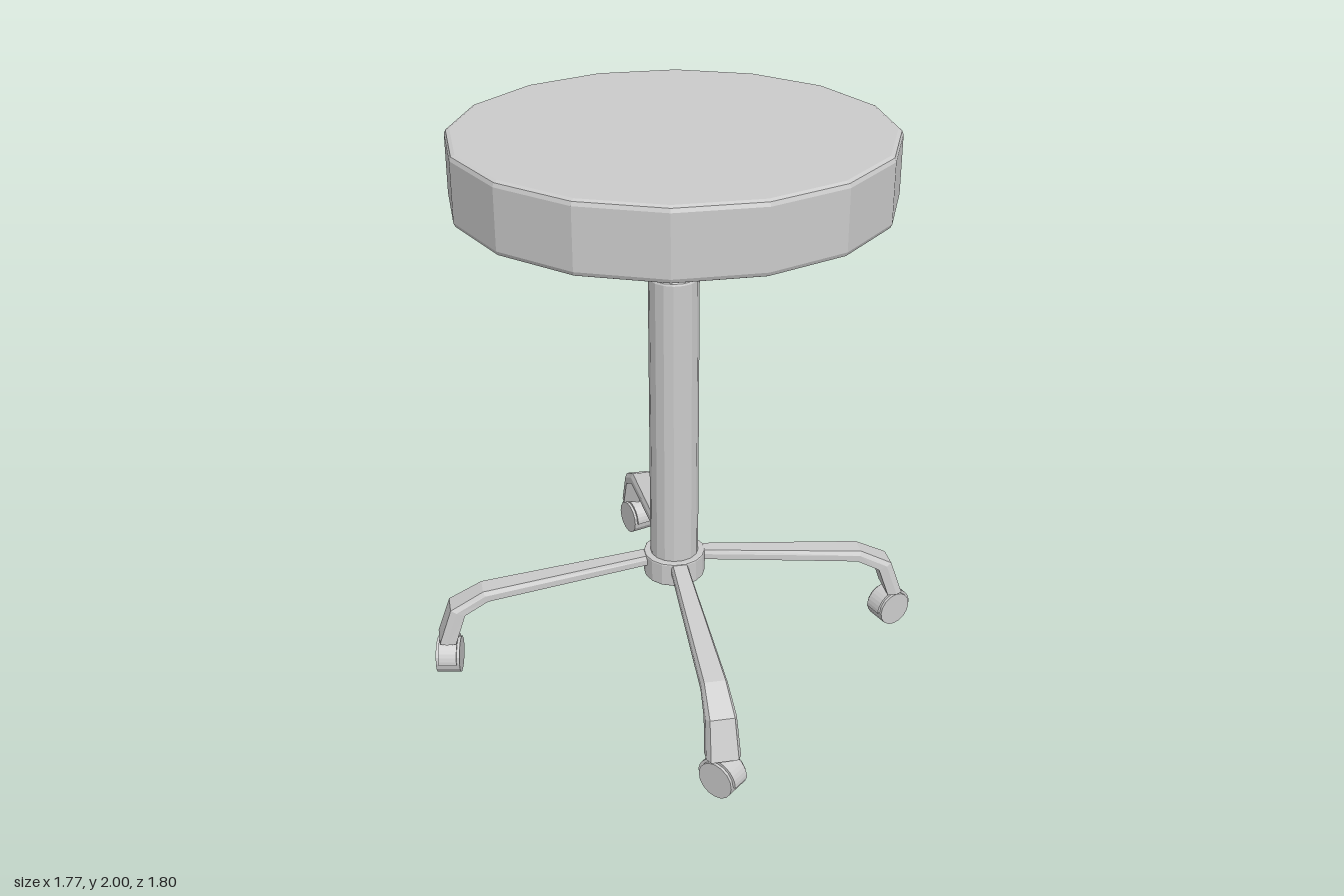
import * as THREE from 'three';

const CENTRE_X = -0.013;
const LEG_ANGLE = THREE.MathUtils.degToRad(11.5);
const material = new THREE.MeshStandardMaterial({ color: 0xcccccc, flatShading: true });

function part(name, geometry) {
  const flat = geometry.index ? geometry.toNonIndexed() : geometry;
  flat.computeVertexNormals();
  const mesh = new THREE.Mesh(flat, material);
  mesh.name = name;
  return mesh;
}

// Upright turned disc or tube with small chamfers at both rims
function turned(name, radius, bottom, top, chamfer) {
  const profile = [
    [0, bottom], [radius - chamfer, bottom],
    [radius - chamfer * 0.3, bottom + chamfer * 0.3], [radius, bottom + chamfer],
    [radius, top - chamfer], [radius - chamfer * 0.3, top - chamfer * 0.3],
    [radius - chamfer, top], [0, top],
  ].map(([x, y]) => new THREE.Vector2(x, y));
  return part(name, new THREE.LatheGeometry(profile, 16));
}

// Tapered, bent leg lofted along +x from chamfered cross-sections
function legGeometry() {
  // top radius, top y, bottom radius, bottom y, half width
  const stations = [
    [0.06, 0.42, 0.06, 0.385, 0.03],
    [0.705, 0.343, 0.69, 0.305, 0.045],
    [0.825, 0.28, 0.775, 0.26, 0.052],
    [0.872, 0.145, 0.815, 0.145, 0.058],
  ];
  const section = [[-1, 0], [1, 0], [1, 0.6], [0.8, 1], [-0.8, 1], [-1, 0.6]];
  const n = section.length;
  const positions = [];
  const indices = [];
  for (const [topR, topY, lowR, lowY, half] of stations) {
    for (const [side, t] of section) {
      positions.push(lowR + (topR - lowR) * t, lowY + (topY - lowY) * t, side * half);
    }
  }
  for (let s = 0; s < stations.length - 1; s++) {
    for (let k = 0; k < n; k++) {
      const a = s * n + k;
      const b = s * n + (k + 1) % n;
      indices.push(a, a + n, b, b, a + n, b + n);
    }
  }
  // Foot end cap
  const last = (stations.length - 1) * n;
  for (let k = 1; k < n - 1; k++) indices.push(last, last + k + 1, last + k);
  const geometry = new THREE.BufferGeometry();
  geometry.setAttribute('position', new THREE.Float32BufferAttribute(positions, 3));
  geometry.setIndex(indices);
  return geometry;
}

// Swivelling wheel with a half-round fender; axle along local z
function makeCaster() {
  const caster = new THREE.Group();
  caster.name = 'caster';

  const wheel = part('wheel', new THREE.CylinderGeometry(0.066, 0.066, 0.086, 16).rotateX(Math.PI / 2));
  wheel.position.y = 0.066;

  const arch = new THREE.Shape();
  arch.absarc(0, 0, 0.075, 0, Math.PI, false);
  arch.absarc(0, 0, 0.06, Math.PI, 0, true);
  const fender = part('fender', new THREE.ExtrudeGeometry(arch, {
    depth: 0.066, bevelEnabled: false, curveSegments: 8,
  }).translate(0, 0, -0.033));
  fender.position.y = 0.066;

  const stem = part('stem', new THREE.CylinderGeometry(0.02, 0.02, 0.06, 8));
  stem.position.y = 0.155;

  caster.add(wheel, fender, stem);
  return caster;
}

export function createModel() {
  const stool = new THREE.Group();
  stool.name = 'stool';

  // Seat and central column
  const body = new THREE.Group();
  body.name = 'seatAndColumn';
  body.add(
    turned('seat', 0.735, 1.765, 2.0, 0.018),
    turned('liftRod', 0.05, 1.45, 1.745, 0.002),
    turned('column', 0.087, 0.37, 1.5, 0.01),
    turned('hub', 0.112, 0.327, 0.418, 0.006),
  );
  body.position.x = CENTRE_X;
  stool.add(body);

  // Four legs, each with its caster turned its own way
  const swivels = [32, -60, 90, -37];
  swivels.forEach((swivel, i) => {
    const angle = LEG_ANGLE + i * Math.PI / 2;
    const leg = part('leg', legGeometry());
    leg.position.x = CENTRE_X;
    leg.rotation.y = angle;

    const caster = makeCaster();
    caster.position.set(CENTRE_X + 0.838 * Math.cos(angle), 0, -0.838 * Math.sin(angle));
    caster.rotation.y = THREE.MathUtils.degToRad(swivel);
    stool.add(leg, caster);
  });

  return stool;
}
